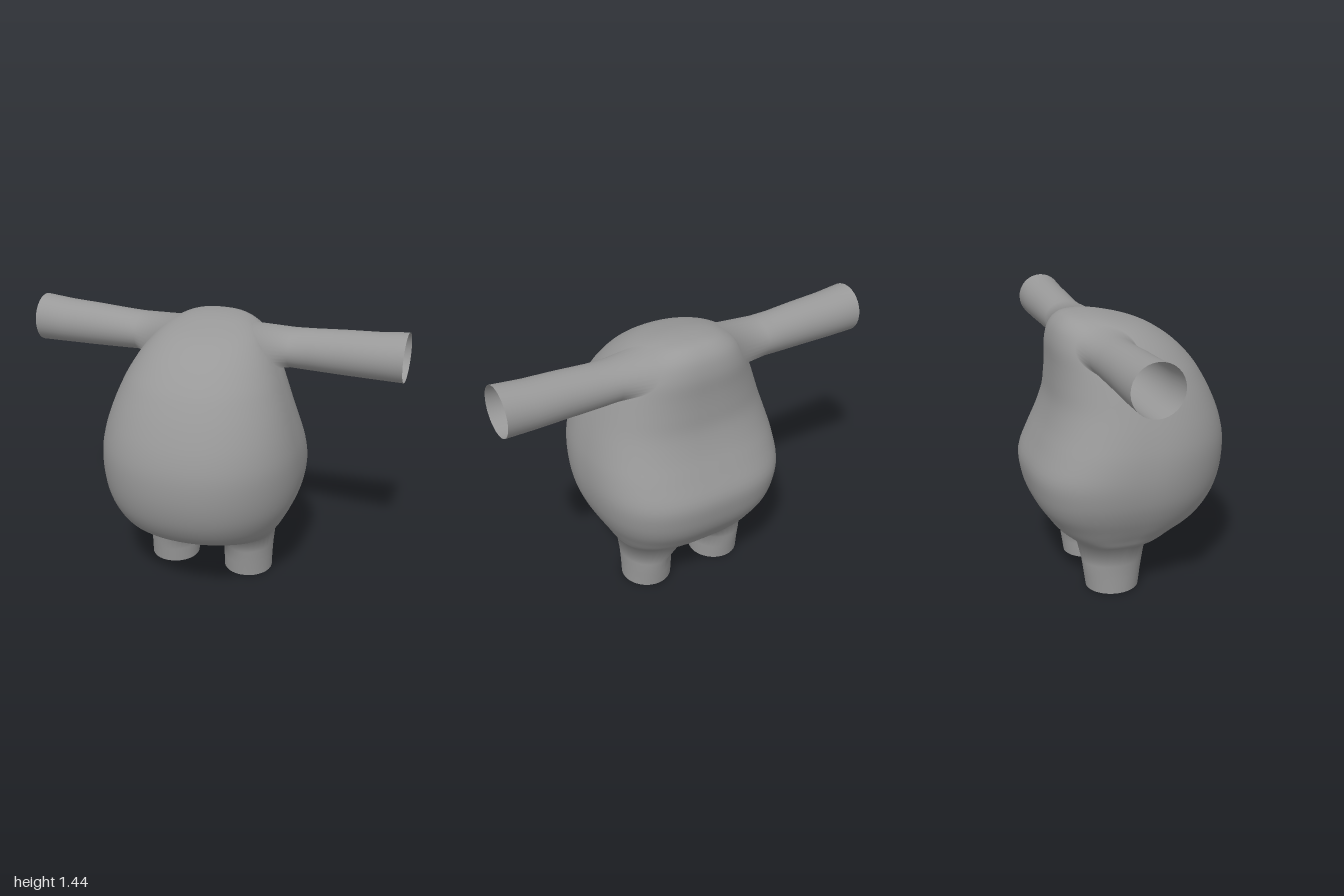
import * as THREE from 'three';

const material = new THREE.MeshStandardMaterial({ color: 0x999999, side: THREE.DoubleSide });

// Torso sections, bottom to top: height, front z, back z, half width
const SECTIONS = [
  [0.205, -0.12, -0.12, 0], [0.212, 0, -0.25, 0.2], [0.232, 0.07, -0.3, 0.32],
  [0.27, 0.2, -0.335, 0.375], [0.32, 0.3, -0.395, 0.405], [0.38, 0.4, -0.44, 0.44],
  [0.46, 0.465, -0.49, 0.48], [0.55, 0.505, -0.518, 0.51], [0.66, 0.527, -0.525, 0.525],
  [0.78, 0.528, -0.477, 0.52], [0.89, 0.505, -0.43, 0.498], [1.0, 0.462, -0.397, 0.465],
  [1.1, 0.41, -0.388, 0.428], [1.19, 0.348, -0.385, 0.388], [1.29, 0.245, -0.385, 0.33],
  [1.37, 0.11, -0.365, 0.26], [1.418, -0.05, -0.325, 0.17], [1.436, -0.15, -0.28, 0.08],
  [1.44, -0.22, -0.22, 0],
];
const STEPS = 4, TORSO_SIDES = 72, LIMB_SIDES = 32;

// Smooth in-between sections
const spline = new THREE.CubicInterpolant(SECTIONS.map((s, i) => i), SECTIONS.flat(), 4, new Float32Array(4));
const rows = [];
for (let i = 0; i <= (SECTIONS.length - 1) * STEPS; i++) rows.push(Array.from(spline.evaluate(i / STEPS)));

// Rounded front; back is squarer low down
const power = (front, y) => (front ? 2.15 : 2.9 - 0.4 * THREE.MathUtils.smoothstep(y, 0.7, 1.2));

// Negative inside the torso, positive outside
function torsoField(x, y, z) {
  const i = rows.findIndex((r) => r[0] >= y);
  if (i < 1) return 1;
  const a = rows[i - 1], b = rows[i];
  const t = (y - a[0]) / (b[0] - a[0] || 1);
  const [, front, back, half] = a.map((v, k) => v + (b[k] - v) * t);
  const dz = z - (front + back) / 2, n = power(dz > 0, y);
  const depth = Math.max((front - back) / 2, 1e-4);
  return Math.abs(x / Math.max(half, 1e-4)) ** n + Math.abs(dz / depth) ** n - 1;
}

function torsoNormal({ x, y, z }) {
  const h = 0.012, f = torsoField;
  return new THREE.Vector3(
    f(x + h, y, z) - f(x - h, y, z), f(x, y + h, z) - f(x, y - h, z), f(x, y, z + h) - f(x, y, z - h)).normalize();
}

// Where the line from an outside point to an inner point meets the torso
function meetTorso(outer, inner) {
  const p = new THREE.Vector3();
  for (let i = 0; i <= 400; i++) {
    p.lerpVectors(outer, inner, i / 400);
    if (torsoField(p.x, p.y, p.z) < 0) break;
  }
  return p;
}

// Limb outlines where they sit on the torso; scale 1 is the full outline
const ARM = { y: 1.297, z: -0.165, ry: 0.105, rz: 0.148 };
const LEG = { x: 0.19, z: -0.12, rx: 0.18, rz: 0.18 };

function armSeat(side, angle, scale = 1) {
  const y = ARM.y + scale * ARM.ry * Math.cos(angle), z = ARM.z + side * scale * ARM.rz * Math.sin(angle);
  return meetTorso(new THREE.Vector3(side, y, z), new THREE.Vector3(0, y, z));
}

function legSeat(side, angle, scale = 1) {
  const x = side * (LEG.x + scale * LEG.rx * Math.cos(angle)), z = LEG.z + side * scale * LEG.rz * Math.sin(angle);
  return meetTorso(new THREE.Vector3(x, 0, z), new THREE.Vector3(x, 0.7, z));
}

// For a point inside a limb opening, the nearest point on its rim
function openingRim(p) {
  const side = p.x < 0 ? -1 : 1;
  const au = (p.y - ARM.y) / ARM.ry, av = side * (p.z - ARM.z) / ARM.rz;
  if (Math.abs(p.x) > 0.1 && Math.hypot(au, av) < 0.98) return armSeat(side, Math.atan2(av, au), 0.98);
  const lu = (Math.abs(p.x) - LEG.x) / LEG.rx, lv = side * (p.z - LEG.z) / LEG.rz;
  if (p.y < 0.45 && Math.hypot(lu, lv) < 0.98) return legSeat(side, Math.atan2(lv, lu), 0.98);
  return null;
}

const ring = (sides, point) => Array.from({ length: sides }, (_, j) => point((j / sides) * Math.PI * 2));

// Skin over closed rings; triangles with every corner in an opening are left out
function loft(name, rings, rim = () => null) {
  const n = rings[0].length, points = rings.flat(), rims = points.map(rim), index = [];
  const add = (...tri) => { if (!tri.every((k) => rims[k])) index.push(...tri); };
  for (let i = 0; i < rings.length - 1; i++) {
    for (let j = 0; j < n; j++) {
      const a = i * n + j, b = i * n + (j + 1) % n;
      add(a, b, b + n);
      add(a, b + n, a + n);
    }
  }
  const geometry = new THREE.BufferGeometry().setFromPoints(points.map((p, k) => rims[k] ?? p));
  geometry.setIndex(index);
  geometry.computeVertexNormals();
  const mesh = new THREE.Mesh(geometry, material);
  mesh.name = name;
  return mesh;
}

// Limb whose first ring takes the torso's normals, so the shading flows across the joint
function limb(name, seat, spans) {
  const mesh = loft(name, [seat, ...spans]);
  seat.forEach((p, i) => mesh.geometry.attributes.normal.setXYZ(i, ...torsoNormal(p)));
  return mesh;
}

function torso() {
  const rings = rows.map(([y, front, back, half]) => ring(TORSO_SIDES, (a) => {
    const c = Math.cos(a), s = Math.sin(a), e = 2 / power(s > 0, y);
    return new THREE.Vector3(
      half * Math.sign(c) * Math.abs(c) ** e, y,
      (front + back) / 2 + ((front - back) / 2) * Math.sign(s) * Math.abs(s) ** e);
  }).reverse());
  return loft('torso', rings, openingRim);
}

// Open sleeve-like arm, from the torso outward
function arm(name, side) {
  // x, centre y, centre z, radius y, radius z
  const spans = [
    [0.42, 1.297, -0.172, 0.101, 0.122], [0.52, 1.297, -0.174, 0.106, 0.115],
    [0.68, 1.301, -0.172, 0.113, 0.118], [0.85, 1.304, -0.172, 0.118, 0.123],
    [1, 1.311, -0.17, 0.126, 0.126],
  ].map(([x, cy, cz, ry, rz]) => ring(LIMB_SIDES, (a) =>
    new THREE.Vector3(side * x, cy + ry * Math.cos(a), cz + side * rz * Math.sin(a))));
  return limb(name, ring(LIMB_SIDES, (a) => armSeat(side, a)), spans);
}

// Short open leg, from the torso down
function leg(name, side) {
  // y, centre x, radius x, radius z
  const spans = [[0.16, 0.222, 0.136, 0.163], [0.08, 0.22, 0.134, 0.151], [0, 0.22, 0.133, 0.14]]
    .map(([y, cx, rx, rz]) => ring(LIMB_SIDES, (a) =>
      new THREE.Vector3(side * (cx + rx * Math.cos(a)), y, -0.126 + side * rz * Math.sin(a))));
  return limb(name, ring(LIMB_SIDES, (a) => legSeat(side, a)), spans);
}

export function createModel() {
  const model = new THREE.Group();
  model.name = 'roundBody';
  model.add(torso());
  for (const [label, side] of [['left', 1], ['right', -1]]) {
    model.add(arm(label + 'Arm', side), leg(label + 'Leg', side));
  }
  return model;
}
